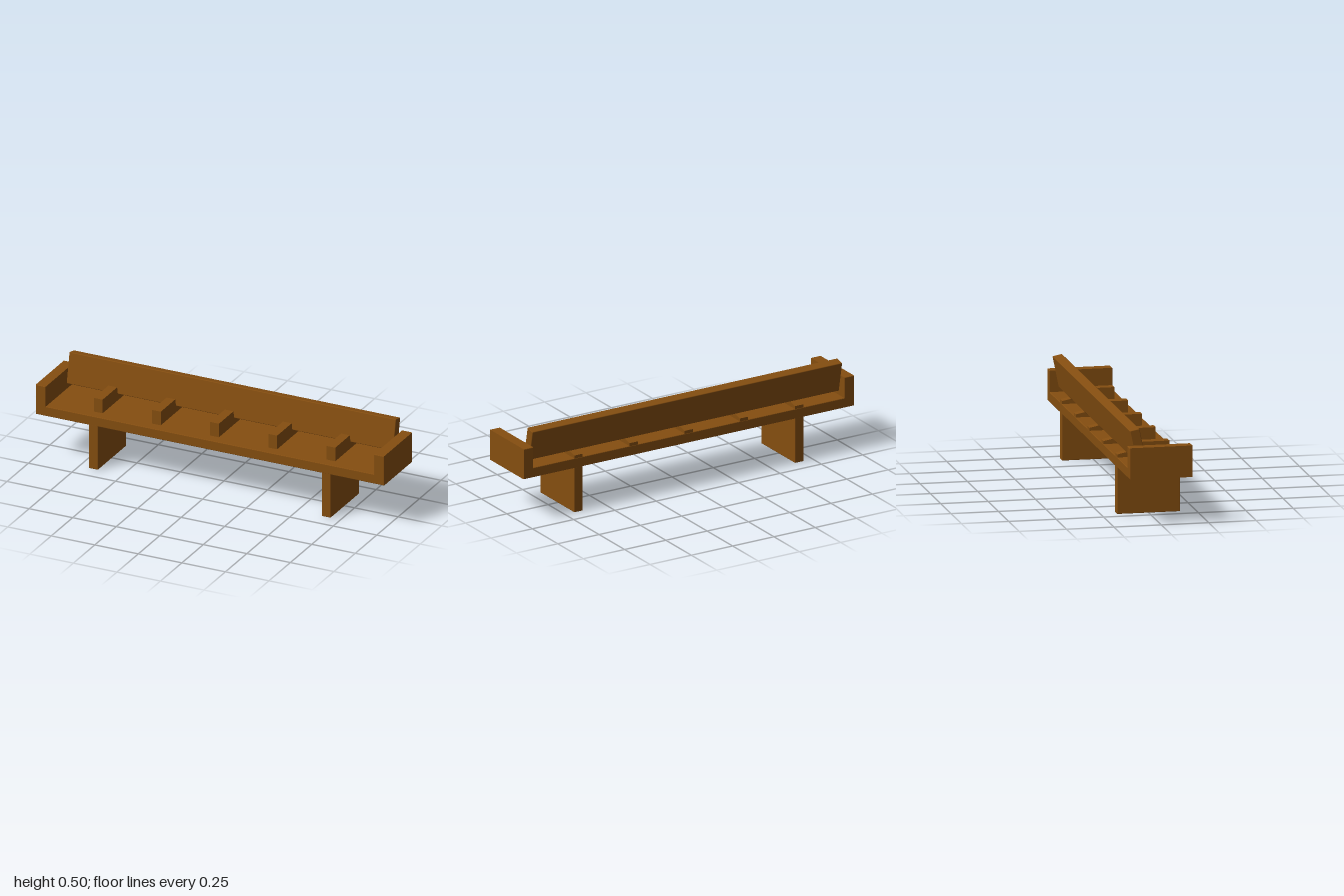
import * as THREE from 'three';
import { RoundedBoxGeometry } from 'three/addons/geometries/RoundedBoxGeometry.js';

const wood = new THREE.MeshStandardMaterial({ color: 0x854e10 });

function add(group, name, geometry, x = 0, y = 0, z = 0) {
  const mesh = new THREE.Mesh(geometry, wood);
  mesh.name = name;
  mesh.position.set(x, y, z);
  group.add(mesh);
  return mesh;
}

// Extrudes an outline to a centred total depth, with a tiny edge bevel.
function slab(points, depth, bevel) {
  const shape = new THREE.Shape(points.map(([x, y]) => new THREE.Vector2(x, y)));
  const geometry = new THREE.ExtrudeGeometry(shape, {
    depth: depth - 2 * bevel, bevelEnabled: bevel > 0, bevelSize: bevel,
    bevelThickness: bevel, bevelOffset: -bevel, bevelSegments: 2,
  });
  return geometry.translate(0, 0, -depth / 2 + bevel);
}

export function createModel() {
  const bench = new THREE.Group();
  bench.name = 'bench';

  // Seat with upright ends, one U-shaped piece
  add(bench, 'seatAndEnds', slab([
    [-1, 0.245], [1, 0.245], [1, 0.411], [0.942, 0.411],
    [0.942, 0.298], [-0.942, 0.298], [-0.942, 0.411], [-1, 0.411],
  ], 0.332, 0.003));

  // Full-depth panel legs
  for (const side of [-1, 1]) {
    add(bench, side > 0 ? 'leftLeg' : 'rightLeg',
      new RoundedBoxGeometry(0.052, 0.25, 0.332, 2, 0.003), side * 0.668, 0.125, 0);
  }

  // Leaning backrest board
  const back = add(bench, 'backrest',
    new RoundedBoxGeometry(1.876, 0.168, 0.052, 2, 0.004), 0, 0.411, -0.11);
  back.rotation.x = -0.2;

  // Seat dividers, stepped down at the rear to carry the backrest
  const profile = [
    [0.11, 0.293], [0.11, 0.375], [-0.06, 0.375], [-0.068, 0.334],
    [-0.165, 0.314], [-0.165, 0.293],
  ];
  const dividerGeometry = slab(profile, 0.05, 0).rotateY(-Math.PI / 2);
  for (let i = -2; i <= 2; i++) {
    add(bench, 'divider' + (i + 3), dividerGeometry, i * 0.334);
  }
  return bench;
}
